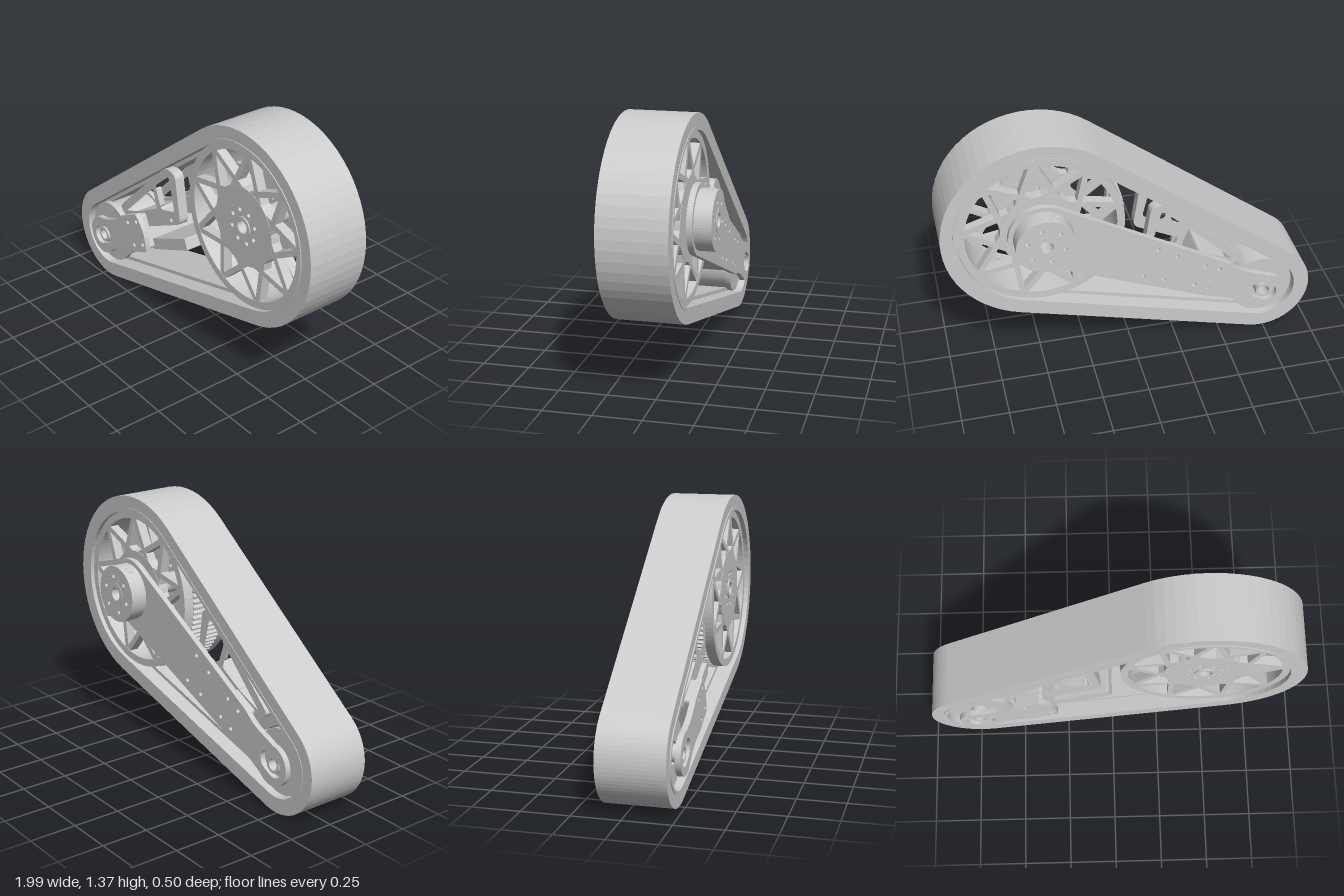
import * as THREE from 'three';

const mat = new THREE.MeshStandardMaterial({ color: 0xcccccc, flatShading: true });
const BIG = new THREE.Vector2(0.475, 0.86), SMALL = new THREE.Vector2(-0.735, 0.27);
const AXIS = BIG.clone().sub(SMALL), DIST = AXIS.length(), PHI = AXIS.angle();

// Extrude a shape between two depths
function slab(name, shape, z0, z1, segments = 24) {
  const geo = new THREE.ExtrudeGeometry(shape, { depth: z1 - z0, bevelEnabled: false, curveSegments: segments });
  geo.translate(0, 0, z0);
  const mesh = new THREE.Mesh(geo, mat);
  mesh.name = name;
  return mesh;
}

function circle(r, x = 0, y = 0, T = THREE.Shape) {
  const s = new T();
  s.absarc(x, y, r, 0, Math.PI * 2, false);
  return s;
}

function ring(outer, ...inner) {
  const s = circle(outer);
  for (const r of inner) s.holes.push(circle(r, 0, 0, THREE.Path));
  return s;
}

// Outline around both wheels: big radius R, small radius r, in the arm frame (u along the arm)
function loop(R, r, T = THREE.Shape) {
  const b = Math.acos((R - r) / DIST), s = new T();
  s.absarc(DIST, 0, R, -Math.PI + b, Math.PI - b, false);
  s.absarc(0, 0, r, Math.PI - b, Math.PI + b, false);
  s.closePath();
  return s;
}

function belt(name, depthOut, depthIn, z0, z1) {
  const s = loop(0.52 - depthOut, 0.265 - depthOut);
  s.holes.push(loop(0.52 - depthIn, 0.265 - depthIn, THREE.Path));
  return slab(name, s, z0, z1, 17);
}

// Polygon with rounded corners
function rounded(points, rad, T = THREE.Shape) {
  const s = new T(), n = points.length, P = points.map(p => new THREE.Vector2(...p));
  P.forEach((p, i) => {
    const toward = q => p.clone().add(q.clone().sub(p).setLength(rad));
    const a = toward(P[(i + n - 1) % n]), c = toward(P[(i + 1) % n]);
    if (i) s.lineTo(a.x, a.y); else s.moveTo(a.x, a.y);
    s.quadraticCurveTo(p.x, p.y, c.x, c.y);
  });
  s.closePath();
  return s;
}

// Slotted hole for the adjustable axle
function axleSlot() {
  const s = new THREE.Path();
  s.absarc(0.035, 0, 0.052, -Math.PI / 2, Math.PI / 2, false);
  s.absarc(-0.02, 0, 0.052, Math.PI / 2, Math.PI * 1.5, false);
  s.closePath();
  return s;
}

function boltHoles(shape, list) {
  for (const [u, v] of list) shape.holes.push(circle(0.012, u, v, THREE.Path));
}

// Lightened disc: rim, hub and nine crossing V-shaped spoke pairs
function spokedDisc(z0, z1) {
  const g = new THREE.Group();
  g.name = 'spokedDisc';
  g.add(slab('discRim', ring(0.436, 0.395), z0, z1, 48));
  const hub = ring(0.215, 0.036);
  boltHoles(hub, Array.from({ length: 8 }, (_, i) => {
    const a = (i + 0.4) * Math.PI / 4;
    return [0.09 * Math.cos(a), 0.09 * Math.sin(a)];
  }));
  g.add(slab('discHub', hub, z0, z1));
  for (let i = 0; i < 9; i++) for (const side of [-1, 1]) {
    const a = THREE.MathUtils.degToRad(86 + i * 40), b = a + side * 0.56;
    const p = new THREE.Vector2(0.41 * Math.cos(a), 0.41 * Math.sin(a));
    const q = new THREE.Vector2(0.2 * Math.cos(b), 0.2 * Math.sin(b));
    const spoke = new THREE.Mesh(new THREE.BoxGeometry(p.distanceTo(q), 0.03, z1 - z0 - 0.004), mat);
    spoke.name = 'spoke';
    spoke.position.set((p.x + q.x) / 2, (p.y + q.y) / 2, (z0 + z1) / 2);
    spoke.rotation.z = Math.atan2(p.y - q.y, p.x - q.x);
    g.add(spoke);
  }
  return g;
}

function bigWheel() {
  const g = new THREE.Group();
  g.name = 'driveWheel';
  g.add(spokedDisc(0.145, 0.2), spokedDisc(-0.11, -0.055));
  // Toothed rim between the discs
  const teeth = new THREE.Shape(), n = 90;
  for (let i = 0; i < n * 4; i++) {
    const a = (i / (n * 4)) * Math.PI * 2, r = i % 4 < 2 ? 0.446 : 0.432;
    if (i) teeth.lineTo(r * Math.cos(a), r * Math.sin(a)); else teeth.moveTo(r, 0);
  }
  teeth.closePath();
  teeth.holes.push(circle(0.405, 0, 0, THREE.Path));
  g.add(slab('toothedRim', teeth, -0.055, 0.145, 36));
  g.add(slab('wheelAxle', ring(0.055, 0.036), -0.2, 0.207));
  return g;
}

// Clamping hub behind the big wheel
function rearHub() {
  const g = new THREE.Group();
  g.name = 'rearHub';
  const s = ring(0.155, 0.036);
  boltHoles(s, Array.from({ length: 6 }, (_, i) => {
    const a = i * Math.PI / 3 + 0.3;
    return [0.1 * Math.cos(a), 0.1 * Math.sin(a)];
  }));
  g.add(slab('hubBody', s, -0.25, -0.16, 32));
  g.add(slab('hubBoss', ring(0.062, 0.036), -0.253, -0.2));
  for (const a of [1.98, -1.75]) {
    const screw = new THREE.Mesh(new THREE.TorusGeometry(0.018, 0.005, 6, 16), mat);
    screw.name = 'setScrewSeat';
    screw.position.set(0.153 * Math.cos(a), 0.153 * Math.sin(a), -0.205);
    screw.rotation.set(Math.PI / 2, a - Math.PI / 2, 0, 'ZXY');
    screw.lookAt(2 * screw.position.x, 2 * screw.position.y, -0.205);
    g.add(screw);
  }
  return g;
}

function smallWheel() {
  const g = new THREE.Group();
  g.name = 'idlerWheel';
  g.add(slab('idlerDrum', ring(0.16, 0.06), -0.08, 0.17, 32));
  for (const z of [-0.095, 0.155]) g.add(slab('idlerFlange', ring(0.175, 0.06), z, z + 0.03, 32));
  g.add(slab('idlerAxle', ring(0.045, 0.03), -0.15, 0.24));
  return g;
}

function armParts() {
  const g = new THREE.Group();
  g.name = 'arm';
  const bolts = [[0.326, 0.066], [0.417, 0.066], [0.326, -0.066], [0.417, -0.066]];

  // Rear arm plate with rounded ends
  const rear = new THREE.Shape();
  rear.absarc(DIST, 0, 0.18, -1.63, 1.63, false);
  rear.lineTo(0.28, 0.115);
  rear.quadraticCurveTo(0.2, 0.085, 0.1, 0.1);
  rear.absarc(0, 0, 0.11, 1.2, -1.2 + Math.PI * 2, false);
  rear.quadraticCurveTo(0.2, -0.085, 0.28, -0.115);
  rear.closePath();
  rear.holes.push(axleSlot(), circle(0.036, DIST, 0, THREE.Path));
  boltHoles(rear, [...bolts, [0.6, 0.08], [0.72, 0.09], [0.6, -0.08], [0.72, -0.09]]);
  g.add(slab('rearArmPlate', rear, -0.16, -0.13));

  // Short front plate carrying the idler
  const front = new THREE.Shape();
  front.absarc(0, 0, 0.11, 1.1, -1.1 + Math.PI * 2, false);
  front.quadraticCurveTo(0.16, -0.07, 0.27, -0.105);
  front.lineTo(0.43, -0.108);
  front.quadraticCurveTo(0.485, 0, 0.43, 0.108);
  front.lineTo(0.27, 0.105);
  front.quadraticCurveTo(0.16, 0.07, 0.05, 0.098);
  front.holes.push(axleSlot());
  boltHoles(front, bolts);
  g.add(slab('frontArmPlate', front, 0.22, 0.25));

  // Spacer and lower beam joining the plates
  const spacer = rounded([[0.27, -0.1], [0.44, -0.1], [0.44, 0.1], [0.27, 0.1]], 0.02);
  boltHoles(spacer, bolts);
  g.add(slab('spacerBlock', spacer, -0.13, 0.22));
  g.add(slab('lowerBeam', rounded([[0.42, -0.11], [0.755, -0.125], [0.763, -0.058], [0.42, -0.05]], 0.008), -0.13, 0.19));

  // Pair of windowed bracket plates above the arm
  for (const z of [-0.1, 0.135]) {
    const s = rounded([[0.19, 0.15], [0.77, 0.335], [0.845, 0.29], [0.76, 0.02], [0.4, 0.02], [0.22, 0.09]], 0.035);
    s.holes.push(rounded([[0.625, 0.245], [0.78, 0.285], [0.738, 0.09], [0.612, 0.111]], 0.025, THREE.Path));
    s.holes.push(rounded([[0.25, 0.118], [0.59, 0.23], [0.575, 0.118], [0.4, 0.108]], 0.018, THREE.Path));
    boltHoles(s, [[0.685, 0.05]]);
    g.add(slab('bracketPlate', s, z, z + 0.055));
  }
  return g;
}

export function createModel() {
  const model = new THREE.Group();
  model.name = 'trackDrive';
  // Everything that follows the slope of the arm
  const sloped = new THREE.Group();
  sloped.name = 'slopedAssembly';
  sloped.position.set(SMALL.x, SMALL.y, 0);
  sloped.rotation.z = PHI;
  sloped.add(belt('trackTread', 0, 0.07, -0.13, 0.22));
  sloped.add(belt('trackLiner', 0.065, 0.085, -0.133, 0.225));
  sloped.add(belt('guideRail', 0.08, 0.105, -0.05, 0.14));
  sloped.add(armParts(), smallWheel());
  // Upright big wheel and its hub
  const drive = new THREE.Group();
  drive.name = 'driveAssembly';
  drive.position.set(BIG.x, BIG.y, 0);
  drive.add(bigWheel(), rearHub());
  model.add(sloped, drive);
  return model;
}
